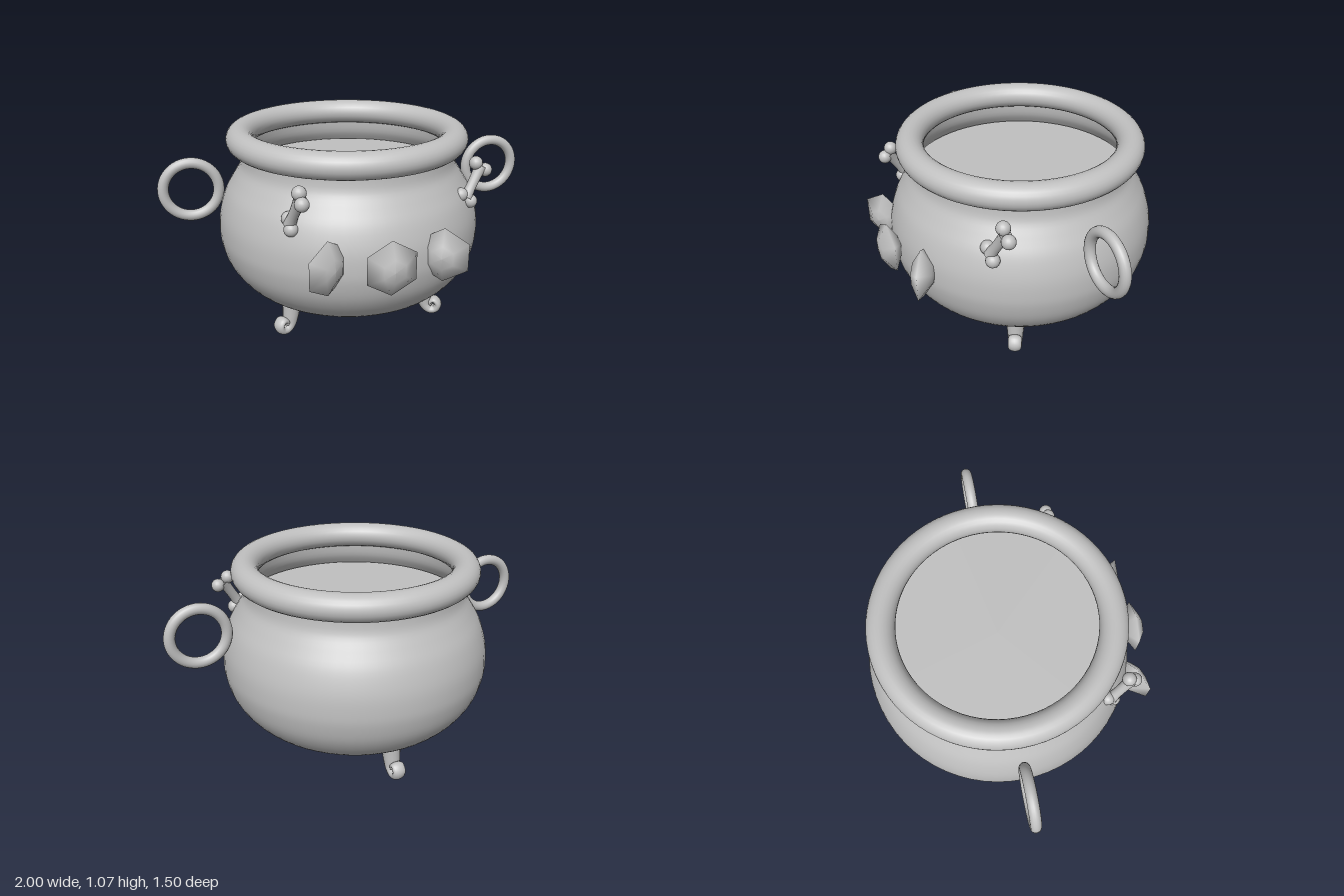
import * as THREE from 'three';

const iron = new THREE.MeshStandardMaterial({ color: 0xc0c0c0 });
iron.name = 'iron grey';
iron.side = THREE.DoubleSide;

const V = (x, y, z) => new THREE.Vector3(x, y, z);

function part(parent, name, geometry, x = 0, y = 0, z = 0) {
  const mesh = new THREE.Mesh(geometry, iron);
  mesh.name = name;
  mesh.position.set(x, y, z);
  parent.add(mesh);
  return mesh;
}

// Smooth lathe of a spline through [radius, height] points
function turned(points, divisions, segments) {
  const spline = new THREE.SplineCurve(points.map(([r, y]) => new THREE.Vector2(r, y)));
  const profile = spline.getPoints(divisions);
  profile.forEach((p) => { p.x = Math.max(p.x, 0); });
  return new THREE.LatheGeometry(profile, segments);
}

// Foot: an elliptical section swept along a scroll; rows are [out, up, half thickness, half width]
function scrollGeometry() {
  const rows = [
    [0.425, 0.23, 0.056, 0.056], [0.43, 0.17, 0.05, 0.05], [0.44, 0.10, 0.042, 0.045],
    [0.452, 0.055, 0.033, 0.04], [0.478, 0.03, 0.026, 0.037], [0.51, 0.035, 0.022, 0.036],
    [0.522, 0.065, 0.019, 0.036], [0.50, 0.09, 0.017, 0.035], [0.478, 0.075, 0.014, 0.033],
    [0.486, 0.058, 0.01, 0.03],
  ];
  const path = new THREE.CatmullRomCurve3(rows.map((r) => V(r[0], r[1], 0)));
  const size = new THREE.CatmullRomCurve3(rows.map((r) => V(r[2], r[3], 0)));
  const steps = 54, sides = 16, pos = [], idx = [];
  for (let i = 0; i <= steps; i++) {
    const p = path.getPoint(i / steps), t = path.getTangent(i / steps), s = size.getPoint(i / steps);
    const k = i === steps ? 0.01 : 1; // close the tip
    for (let j = 0; j < sides; j++) {
      const a = (j / sides) * Math.PI * 2, n = Math.cos(a) * s.x * k;
      pos.push(p.x - t.y * n, p.y + t.x * n, Math.sin(a) * s.y * k);
      if (i < steps) {
        const j2 = (j + 1) % sides, v = i * sides, w = v + sides;
        idx.push(v + j, v + j2, w + j, v + j2, w + j2, w + j);
      }
    }
  }
  const g = new THREE.BufferGeometry();
  g.setAttribute('position', new THREE.Float32BufferAttribute(pos, 3));
  g.setIndex(idx);
  g.computeVertexNormals();
  return g;
}

// Bone: waisted shaft with two knobs at each end, spread along a direction
function addBone(parent, name, a, b, spread) {
  const bone = new THREE.Group();
  bone.name = name;
  const axis = b.clone().sub(a), h = axis.length() / 2;
  const mid = a.clone().add(b).multiplyScalar(0.5);
  const shaft = part(bone, 'boneShaft',
    turned([[0.032, -h], [0.027, -h * 0.4], [0.026, h * 0.4], [0.032, h]], 12, 16), mid.x, mid.y, mid.z);
  shaft.quaternion.setFromUnitVectors(V(0, 1, 0), axis.normalize());
  for (const end of [a, b]) {
    for (const s of [-1, 1]) {
      const p = end.clone().addScaledVector(spread, s);
      part(bone, 'boneKnob', new THREE.SphereGeometry(0.035, 18, 12), p.x, p.y, p.z);
    }
  }
  parent.add(bone);
}

export function createModel() {
  const model = new THREE.Group();
  model.name = 'cauldron';
  const pot = new THREE.Group();
  pot.name = 'pot';
  pot.position.z = -0.05;
  model.add(pot);

  // Rounded belly
  part(pot, 'belly', turned([
    [0, 0.145], [0.2, 0.148], [0.38, 0.16], [0.51, 0.195], [0.6, 0.265], [0.665, 0.36],
    [0.695, 0.46], [0.70, 0.54], [0.69, 0.63], [0.657, 0.73], [0.61, 0.81],
    [0.57, 0.88], [0.56, 0.96],
  ], 48, 64));

  // Thick rolled rim
  const rim = new THREE.TorusGeometry(0.564, 0.071, 24, 72);
  rim.rotateX(Math.PI / 2);
  part(pot, 'rim', rim, -0.005, 1.007, 0).scale.y = 0.95;

  // Contents
  const surface = new THREE.CircleGeometry(0.585, 64);
  surface.rotateX(-Math.PI / 2);
  part(pot, 'liquid', surface, 0, 0.83, 0);

  // Ring handles
  for (const s of [1, -1]) {
    part(pot, s > 0 ? 'leftHandle' : 'rightHandle',
      new THREE.TorusGeometry(0.14, 0.028, 16, 48), s * 0.832, 0.777, 0);
  }

  // Three scrolled feet
  const foot = scrollGeometry();
  [['backFoot', 90], ['leftFoot', -30], ['rightFoot', -150]].forEach(([name, deg]) => {
    part(pot, name, foot).rotation.y = THREE.MathUtils.degToRad(deg);
  });

  // Six-sided gems across the front
  const gem = new THREE.LatheGeometry([
    [0, -0.06], [0.05, -0.054], [0.138, 0], [0.06, 0.045], [0, 0.053],
  ].map(([r, y]) => new THREE.Vector2(r, y)), 6);
  gem.rotateX(Math.PI / 2);
  part(model, 'centreGem', gem, 0, 0.567, 0.70);
  for (const s of [1, -1]) {
    part(model, s > 0 ? 'leftGem' : 'rightGem', gem, s * 0.284, 0.567, 0.625).rotation.y = -s * 0.56;
  }

  // Bones stuck to the shoulders
  addBone(model, 'leftBone', V(0.594, 0.893, 0.328), V(0.505, 0.745, 0.365), V(0.027, -0.02, 0));
  addBone(model, 'rightBone', V(-0.385, 0.888, 0.545), V(-0.42, 0.735, 0.45), V(0.002, -0.021, 0.018));

  return model;
}
